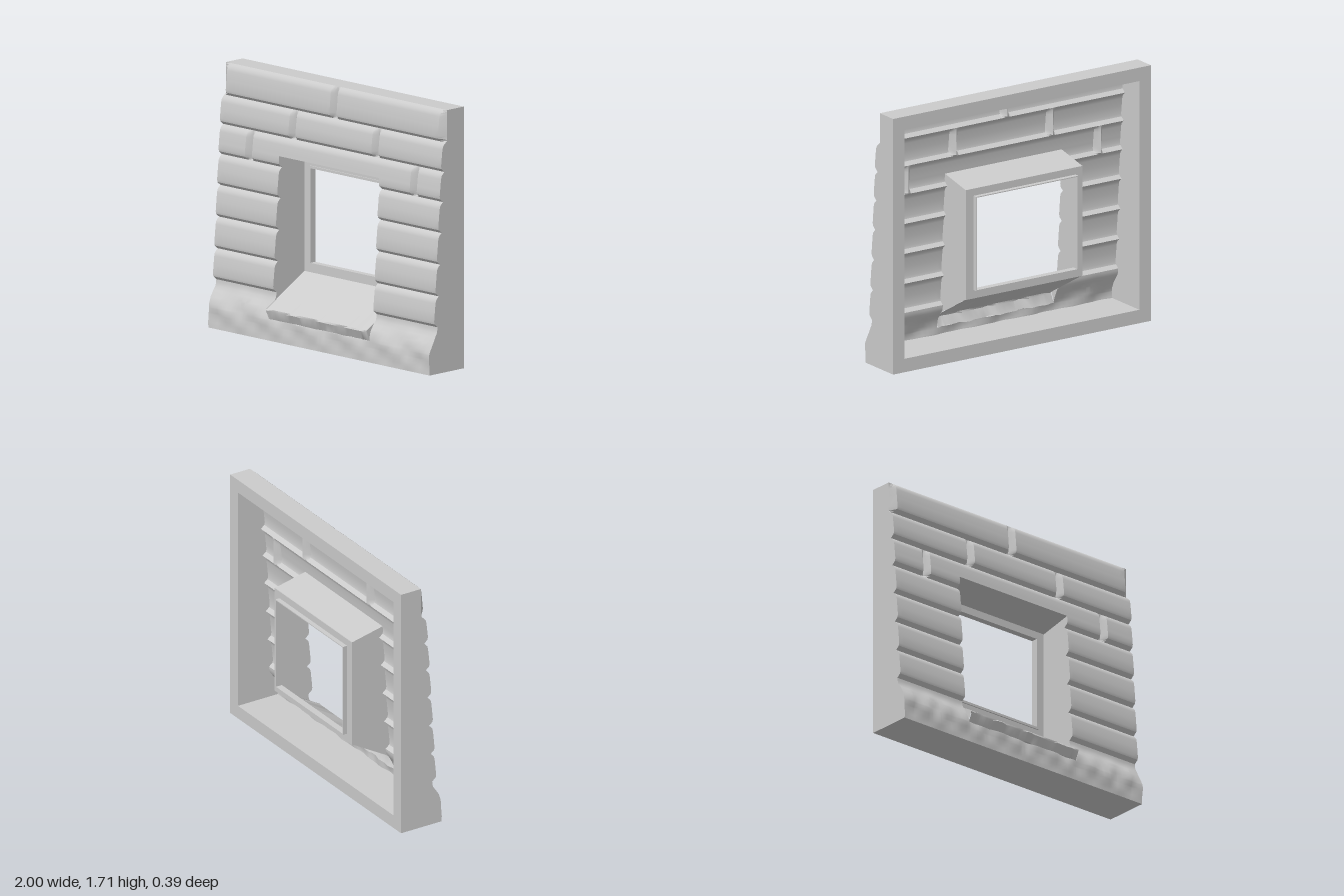
import * as THREE from 'three';
import { toCreasedNormals } from 'three/addons/utils/BufferGeometryUtils.js';

const H = 1.71, BACK = -0.14, RIM = 0.09;
// Window opening: left, right, bottom and top edges
const X0 = -0.455, X1 = 0.45, Y0 = 0.14, Y1 = 1.19;
const FRAME_Z = -0.155, FRAME_Y0 = 0.405, FRAME_Y1 = 1.14;
const SILL_Z = 0.19, SILL_Y = 0.21;

const material = new THREE.MeshStandardMaterial({ color: 0xcccccc, side: THREE.DoubleSide });
const lerp = THREE.MathUtils.lerp;

// Horizontal courses and the vertical joints of the top three
const breaks = [0.305, 0.505, 0.71, 0.915, 1.115, 1.31, 1.5, H];
const joints = { 4: [-0.73, 0.76], 5: [-0.35, 0.4], 6: [0.01] };
const faceZ = (i) => 0.127 - 0.0125 * i;

// Wall profile as [y, z]: plinth, then one rounded plank per course
const profile = [[0, 0.168], [0.06, 0.168], [0.13, 0.167], [0.16, 0.16], [0.2, 0.145], [0.24, 0.122], [0.265, 0.104], [0.29, 0.098]];
for (let i = 0; i < 7; i++) {
  const y = breaks[i], top = breaks[i + 1], f = faceZ(i);
  profile.push([y, f - 0.03], [y + 0.01, f - 0.018], [y + 0.022, f - 0.004], [y + 0.04, f],
    [(y + top) / 2, f - 0.006], [top - 0.045, f - 0.012], [top - 0.025, f - 0.017], [top - 0.01, f - 0.03]);
}
profile.push([H, 0.01]);

function profileZ(y) {
  for (let i = 1; i < profile.length; i++) {
    const [ya, za] = profile[i - 1], [yb, zb] = profile[i];
    if (y <= yb) return lerp(za, zb, (y - ya) / (yb - ya));
  }
  return profile[profile.length - 1][1];
}

function wallZ(x, y) {
  let z = profileZ(y);
  // Rough plinth
  if (y < 0.29) {
    const fade = Math.sin(Math.PI * y / 0.29);
    z += 0.006 * fade * (Math.sin(x * 17 + y * 30) + 0.6 * Math.sin(x * 41 - y * 22));
  }
  // V-shaped joints
  const course = breaks.findIndex((b, i) => y >= b && y <= (breaks[i + 1] ?? -1));
  for (const j of joints[course] ?? []) {
    const d = Math.abs(x - j) / 0.032;
    if (d < 1) z = Math.min(z, lerp(faceZ(course) - 0.045, z, d));
  }
  // Top course tapers at its ends
  if (y > breaks[6]) z = Math.min(z, lerp(z, 0.01, Math.max(0, (Math.abs(x) - 0.96) / 0.04)));
  return z;
}

const sorted = (list) => [...new Set(list.map((v) => +v.toFixed(4)))].sort((a, b) => a - b);
const xs = [X0, X1, -1 + RIM, 1 - RIM, -0.96, 0.96];
for (let i = 0; i <= 50; i++) xs.push(-1 + i * 0.04);
for (const j of Object.values(joints).flat()) for (const d of [-0.04, -0.032, -0.016, 0, 0.016, 0.032, 0.04]) xs.push(j + d);
const ys = [Y0, Y1, RIM, H - RIM, SILL_Y, FRAME_Y0, FRAME_Y1, 0.02, 0.04, 0.1, ...profile.map((p) => p[0])];
const X = sorted(xs), Y = sorted(ys);
const between = (list, a, b) => list.filter((v) => v >= a - 1e-6 && v <= b + 1e-6);

// Surface over a grid of u and v values; skip leaves cells out
function sheet(name, us, vs, point, skip = () => false, crease = 0.6) {
  const pos = [], index = [], n = vs.length;
  for (const u of us) for (const v of vs) pos.push(...point(u, v));
  for (let i = 0; i < us.length - 1; i++) for (let j = 0; j < n - 1; j++) {
    if (skip((us[i] + us[i + 1]) / 2, (vs[j] + vs[j + 1]) / 2)) continue;
    const a = i * n + j, b = a + n;
    index.push(a, b, b + 1, a, b + 1, a + 1);
  }
  const g = new THREE.BufferGeometry();
  g.setAttribute('position', new THREE.Float32BufferAttribute(pos, 3));
  g.setIndex(index);
  const mesh = new THREE.Mesh(toCreasedNormals(g, crease), material);
  mesh.name = name;
  return mesh;
}

// Flat or extruded rectangular ring; rectangles are [x0, y0, x1, y1]
function ring(name, outer, inner, z, depth = 0) {
  const corners = ([a, b, c, d]) => [[a, b], [c, b], [c, d], [a, d]].map((p) => new THREE.Vector2(...p));
  const shape = new THREE.Shape(corners(outer));
  shape.holes.push(new THREE.Path(corners(inner)));
  const g = depth ? new THREE.ExtrudeGeometry(shape, { depth, bevelEnabled: false }) : new THREE.ShapeGeometry(shape);
  if (!depth) g.rotateY(Math.PI).scale(-1, 1, 1);
  const mesh = new THREE.Mesh(g, material);
  if (!depth) {
    // Mirroring reversed the corner order, so turn the normals to the back
    const normal = g.attributes.normal;
    for (let i = 0; i < normal.count; i++) normal.setXYZ(i, 0, 0, -1);
    const id = g.index.array;
    const p = g.attributes.position;
    const ab = new THREE.Vector3().fromBufferAttribute(p, id[1]).sub(new THREE.Vector3().fromBufferAttribute(p, id[0]));
    const ac = new THREE.Vector3().fromBufferAttribute(p, id[2]).sub(new THREE.Vector3().fromBufferAttribute(p, id[0]));
    if (ab.cross(ac).z > 0) for (let i = 0; i < id.length; i += 3) [id[i], id[i + 1]] = [id[i + 1], id[i]];
  }
  mesh.position.z = z;
  mesh.name = name;
  return mesh;
}

export function createModel() {
  const group = new THREE.Group();
  group.name = 'wallWithWindow';
  const ends = [0, 1];

  // Plank shell with the window opening left out
  group.add(sheet('plankShell', X, Y, (x, y) => [x, y, wallZ(x, y)],
    (x, y) => x > X0 && x < X1 && y > Y0 && y < Y1));

  // Outer sides and the inner sides of the hollow back
  for (const s of [-1, 1]) {
    const side = (name, x, lo, hi) => {
      const order = s > 0 ? ends : [1, 0];
      group.add(sheet(name, order, between(Y, lo, hi), (t, y) => [x, y, lerp(wallZ(x, y), BACK, t)]));
    };
    side(s > 0 ? 'leftSide' : 'rightSide', s, 0, H);
    side(s > 0 ? 'leftInnerSide' : 'rightInnerSide', s * (1 - RIM), RIM, H - RIM);
  }
  const level = (name, y, lo, hi, up) => group.add(sheet(name, between(X, lo, hi), up ? [1, 0] : ends,
    (x, t) => [x, y, lerp(wallZ(x, y), BACK, t)]));
  level('topSide', H, -1, 1, false);
  level('bottomSide', 0, -1, 1, true);
  level('topInnerSide', H - RIM, -1 + RIM, 1 - RIM, true);
  level('bottomInnerSide', RIM, -1 + RIM, 1 - RIM, false);
  group.add(ring('backRim', [-1, 0, 1, H], [-1 + RIM, RIM, 1 - RIM, H - RIM], BACK));

  // Reveal: side walls follow the planks in front, sill and ceiling behind
  const revealBack = (y) => {
    if (y < SILL_Y) return lerp(0.16, SILL_Z, (y - Y0) / (SILL_Y - Y0));
    if (y < FRAME_Y0) return lerp(SILL_Z, FRAME_Z, (y - SILL_Y) / (FRAME_Y0 - SILL_Y));
    if (y > FRAME_Y1) return lerp(FRAME_Z, wallZ(X0, Y1), (y - FRAME_Y1) / (Y1 - FRAME_Y1));
    return FRAME_Z;
  };
  for (const [name, x] of [['rightReveal', X0], ['leftReveal', X1]]) {
    group.add(sheet(name, ends, between(Y, Y0, Y1), (t, y) => [x, y, lerp(wallZ(x, y), revealBack(y), t)]));
  }
  group.add(sheet('ceiling', between(X, X0, X1), [1, 0], (x, t) =>
    [x, lerp(Y1, FRAME_Y1, t), lerp(wallZ(x, Y1), FRAME_Z, t)]));

  // Sloping sill with a worn front lip
  const sill = [[Y0, null], [Y0, 0.16], [SILL_Y - 0.012, SILL_Z - 0.003], [SILL_Y, SILL_Z - 0.006], [FRAME_Y0, FRAME_Z]];
  group.add(sheet('sill', between(X, X0, X1), [0, 1, 2, 3, 4], (x, k) => {
    const [y, z] = sill[k];
    const wear = k === 1 || k === 2 ? 0.004 * Math.sin(x * 23) + 0.003 * Math.sin(x * 51) : 0;
    return [x, y + wear * 0.6, z === null ? wallZ(x, Y0) : z + wear];
  }));

  // Stepped window frame
  const opening = [-0.395, 0.468, 0.385, 1.086];
  const grow = ([a, b, c, d], r) => [a - r, b - r, c + r, d + r];
  group.add(ring('framePlate', [X0, FRAME_Y0, X1, FRAME_Y1], opening, -0.161, 0.006));
  group.add(ring('frameBead', grow(opening, 0.016), opening, FRAME_Z, 0.008));
  group.add(ring('frameCollar', grow(opening, 0.006), opening, -0.192, 0.031));
  return group;
}
